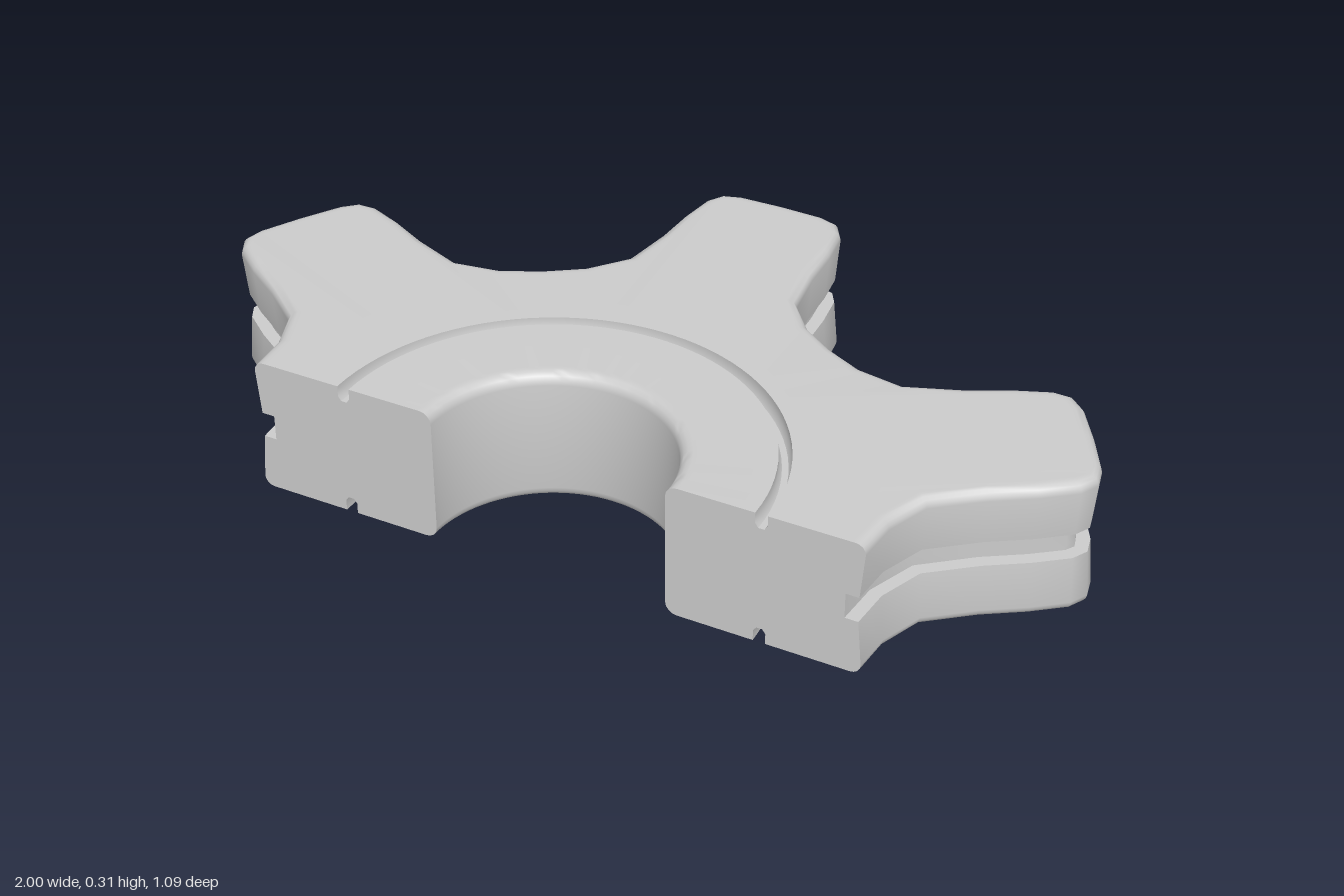
import * as THREE from 'three';
import { toCreasedNormals } from 'three/addons/utils/BufferGeometryUtils.js';

const H = 0.31, TEETH = 6;

// half tooth outline: across, outwards (tip centre to middle of the valley)
const HALF_TOOTH = [
  [0, 1.09], [0.10, 1.087], [0.145, 1.072], [0.168, 1.035], [0.18, 0.95],
  [0.185, 0.85], [0.203, 0.73], [0.268, 0.65], [0.345, 0.5975],
];

// full ring outline, counter-clockwise from the valley at angle 0
function ringOutline() {
  const tooth = [
    ...HALF_TOOTH.slice(1).reverse(),
    ...HALF_TOOTH.slice(0, -1).map(([u, v]) => [-u, v]),
  ];
  const points = [];
  for (let t = 0; t < TEETH; t++) {
    const turn = (t + 0.5) * Math.PI * 2 / TEETH - Math.PI / 2;
    for (const [u, v] of tooth) {
      points.push(new THREE.Vector2(u, v).rotateAround(new THREE.Vector2(), turn));
    }
  }
  return points;
}

// upper half of the cross-section, from the rim groove inwards to the bore
// o = inset from the toothed outline, r = plain radius
function upperSection() {
  const list = [{ o: 0.038, y: H / 2 }, { o: 0.038, y: 0.184 }, { o: 0.009, y: 0.184 }];
  const R = 0.022, B = 0.026, STEPS = 4;
  for (let i = 0; i <= STEPS; i++) {
    const a = i / STEPS * Math.PI / 2;
    list.push({ o: R * (1 - Math.cos(a)), y: H - R + R * Math.sin(a) });
  }
  list.push({ o: 0.03, y: H }, { r: 0.495, y: H });
  // ring groove with a rounded floor
  list.push({ r: 0.486, y: H }, { r: 0.486, y: H - 0.024 });
  list.push({ r: 0.479, y: H - 0.034 }, { r: 0.466, y: H - 0.034 });
  list.push({ r: 0.459, y: H - 0.024 }, { r: 0.459, y: H }, { r: 0.45, y: H });
  list.push({ r: 0.30, y: H });
  // rounded bore edge
  for (let i = 0; i <= STEPS; i++) {
    const a = i / STEPS * Math.PI / 2;
    list.push({ r: 0.265 + B * (1 - Math.sin(a)), y: H - B + B * Math.cos(a) });
  }
  return list;
}

export function createModel() {
  const group = new THREE.Group();
  group.name = 'halfGear';
  const material = new THREE.MeshStandardMaterial({ color: 0xcccccc });

  const upper = upperSection();
  const lower = upper.slice(1).reverse().map(s => ({ ...s, y: H - s.y }));
  const section = [...upper, ...lower];
  const outline = ringOutline();
  const count = outline.length, half = count / 2, n = section.length;

  // sweep the section around half a turn
  const positions = [], index = [];
  for (let j = 0; j <= half; j++) {
    const p = outline[j % count];
    const before = outline[(j + count - 1) % count], after = outline[(j + 1) % count];
    const d1 = p.clone().sub(before).normalize(), d2 = after.clone().sub(p).normalize();
    const dir = d1.add(d2).normalize();
    const angle = j / half * Math.PI;
    for (const s of section) {
      if (s.r !== undefined) positions.push(s.r * Math.cos(angle), s.y, -s.r * Math.sin(angle));
      else positions.push(p.x - dir.y * s.o, s.y, -(p.y + dir.x * s.o));
    }
  }
  for (let j = 0; j < half; j++) {
    for (let i = 0; i < n; i++) {
      const k = (i + 1) % n;
      const a = j * n + i, b = a + n, c = j * n + k, d = c + n;
      index.push(a, b, c, b, d, c);
    }
  }
  const geometry = new THREE.BufferGeometry();
  geometry.setAttribute('position', new THREE.Float32BufferAttribute(positions, 3));
  geometry.setIndex(index);
  const body = new THREE.Mesh(toCreasedNormals(geometry, 0.9), material);
  body.name = 'toothedBody';
  group.add(body);

  // flat cut faces at both ends
  for (const side of [1, -1]) {
    const shape = new THREE.Shape(section.map(s =>
      new THREE.Vector2(side * (s.r !== undefined ? s.r : outline[0].x - s.o), s.y)));
    const cap = new THREE.Mesh(new THREE.ShapeGeometry(shape), material);
    cap.name = side > 0 ? 'leftCutFace' : 'rightCutFace';
    group.add(cap);
  }

  group.children.forEach(mesh => { mesh.position.z = 0.545; });
  return group;
}
